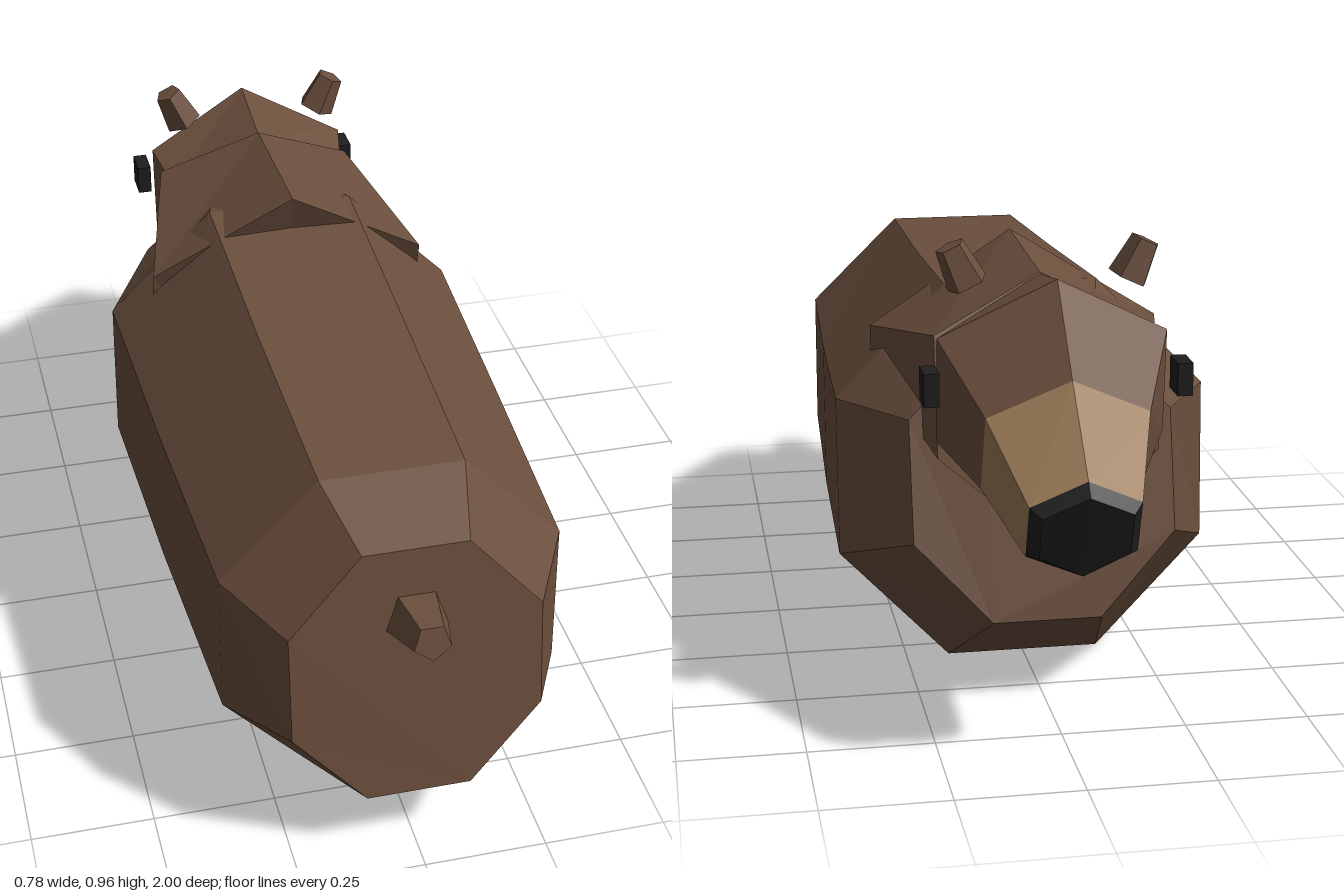
import * as THREE from 'three';

const mat = (color) => new THREE.MeshStandardMaterial({ color, flatShading: true });
const brown = mat(0x6b4f3d), tan = mat(0x9c7b58), black = mat(0x1e1e1e);

// Mirrors a half profile of [x, y, z] (bottom to top) into a closed ring.
function ring(half) {
  const other = half.filter((p) => p[0] > 0).reverse().map(([x, y, z]) => [-x, y, z]);
  return [...half, ...other];
}

// Octagonal body section: widths, then [y, z] of the four levels.
const octagon = (corner, wide, levels) =>
  ring(levels.map(([y, z], i) => [i === 0 || i === 3 ? corner : wide, y, z]));

// Hexagonal section with a point at top and bottom.
const hexagon = (wide, bottom, low, high, top) =>
  ring([[0, ...bottom], [wide, ...low], [wide, ...high], [0, ...top]]);

// Skins rings ordered from +z to -z and closes both ends.
function loft(rings) {
  const n = rings[0].length, pos = [];
  const tri = (...pts) => pts.forEach((p) => pos.push(...p));
  for (let r = 0; r < rings.length - 1; r++) {
    const a = rings[r], b = rings[r + 1];
    for (let i = 0; i < n; i++) {
      const j = (i + 1) % n;
      tri(b[i], b[j], a[j]);
      tri(b[i], a[j], a[i]);
    }
  }
  const first = rings[0], last = rings[rings.length - 1];
  for (let i = 1; i < n - 1; i++) {
    tri(first[0], first[i], first[i + 1]);
    tri(last[0], last[i + 1], last[i]);
  }
  const geo = new THREE.BufferGeometry();
  geo.setAttribute('position', new THREE.Float32BufferAttribute(pos, 3));
  geo.computeVertexNormals();
  return geo;
}

// Tapered five-sided stub between two points.
function stub(from, to, rFrom, rTo) {
  const a = new THREE.Vector3(...from), b = new THREE.Vector3(...to);
  const dir = b.clone().sub(a);
  const mesh = new THREE.Mesh(new THREE.CylinderGeometry(rTo, rFrom, dir.length(), 5), brown);
  mesh.position.copy(a).add(b).multiplyScalar(0.5);
  mesh.quaternion.setFromUnitVectors(new THREE.Vector3(0, 1, 0), dir.normalize());
  return mesh;
}

export function createModel() {
  const model = new THREE.Group();
  const add = (name, mesh) => {
    mesh.name = name;
    model.add(mesh);
    return mesh;
  };

  // Barrel body, from rump to chest
  add('body', new THREE.Mesh(loft([
    octagon(0.105, 0.25, [[0.147, 0.94], [0.305, 0.915], [0.53, 0.885], [0.69, 0.865]]),
    octagon(0.145, 0.345, [[0.035, 0.72], [0.24, 0.71], [0.545, 0.7], [0.745, 0.69]]),
    octagon(0.155, 0.37, [[0.01, 0.2], [0.232, 0.2], [0.553, 0.2], [0.77, 0.2]]),
    octagon(0.16, 0.388, [[0, -0.31], [0.237, -0.3], [0.57, -0.28], [0.802, -0.27]]),
    octagon(0.11, 0.265, [[0.18, -0.6], [0.345, -0.57], [0.585, -0.51], [0.74, -0.48]]),
  ]), brown));

  // Neck, buried in the shoulders
  add('neck', new THREE.Mesh(loft([
    hexagon(0.305, [0.15, -0.4], [0.62, -0.21], [0.7, -0.19], [0.885, -0.14]),
    hexagon(0.22, [0.35, -0.65], [0.53, -0.6], [0.765, -0.55], [0.87, -0.49]),
  ]), brown));

  // Head: skull, pale muzzle and dark nose share their sections
  const nape = hexagon(0.2, [0.46, -0.5], [0.57, -0.5], [0.75, -0.5], [0.865, -0.485]);
  const brow = hexagon(0.225, [0.42, -0.63], [0.57, -0.61], [0.78, -0.63], [0.897, -0.672]);
  const cheek = hexagon(0.157, [0.408, -0.71], [0.51, -0.735], [0.665, -0.79], [0.74, -0.825]);
  const snout = hexagon(0.105, [0.397, -0.905], [0.44, -0.925], [0.545, -0.96], [0.595, -0.978]);
  const tip = hexagon(0.085, [0.4, -0.94], [0.445, -0.955], [0.53, -0.985], [0.57, -1]);
  add('skull', new THREE.Mesh(loft([nape, brow, cheek]), brown));
  add('muzzle', new THREE.Mesh(loft([cheek, snout]), tan));
  add('nose', new THREE.Mesh(loft([snout, tip]), black));

  // Ears and eyes
  for (const [side, s] of [['left', 1], ['right', -1]]) {
    add(side + 'Ear', stub([s * 0.157, 0.873, -0.582], [s * 0.192, 0.948, -0.582], 0.042, 0.03));
    const eye = add(side + 'Eye', new THREE.Mesh(new THREE.BoxGeometry(0.03, 0.065, 0.065), black));
    eye.position.set(s * 0.245, 0.698, -0.672);
  }

  // Short tail
  add('tail', stub([0, 0.538, 0.87], [0, 0.565, 0.99], 0.067, 0.038));

  return model;
}
